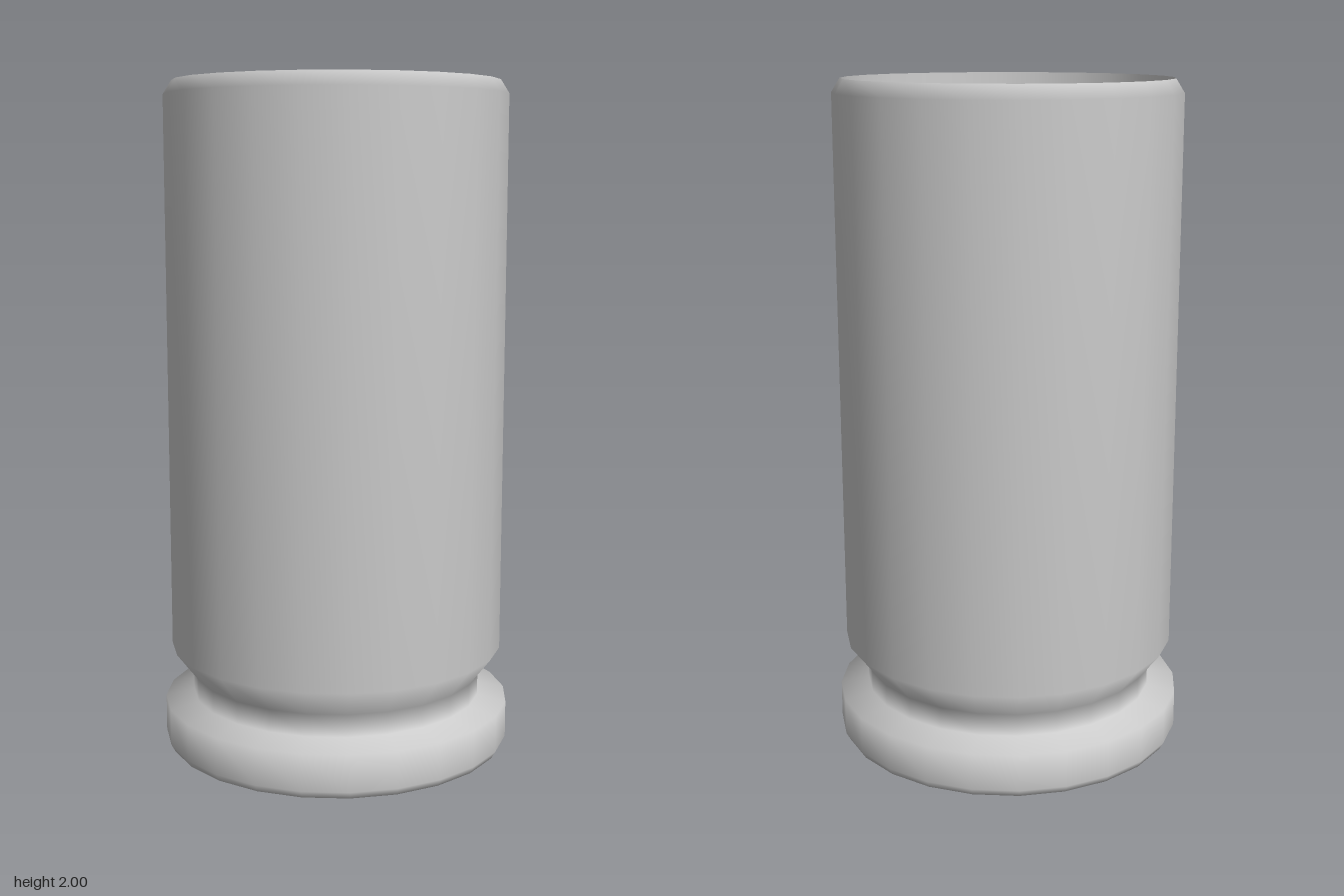
import * as THREE from 'three';

const SIDES = 24;

// Revolve a [radius, height] profile around the y axis
function turned(name, profile, material) {
  const points = profile.map(([r, y]) => new THREE.Vector2(r, y));
  const mesh = new THREE.Mesh(new THREE.LatheGeometry(points, SIDES), material);
  mesh.name = name;
  return mesh;
}

export function createModel() {
  const group = new THREE.Group();
  group.name = 'openCasing';
  const material = new THREE.MeshStandardMaterial({ color: 0xcccccc });

  group.add(
    // Flat underside
    turned('base', [[0, 0], [0.495, 0]], material),
    // Rim, groove, straight wall and chamfered mouth
    turned('outerWall', [
      [0.495, 0], [0.515, 0.008], [0.527, 0.03], [0.527, 0.14],
      [0.44, 0.158], [0.44, 0.225], [0.505, 0.31],
      [0.505, 1.96], [0.48, 2],
    ], material),
    // Tapered inside, from the mouth down to the floor
    turned('innerWall', [[0.48, 2], [0.412, 0.3]], material),
    turned('innerFloor', [[0.412, 0.3], [0, 0.3]], material),
  );
  return group;
}
